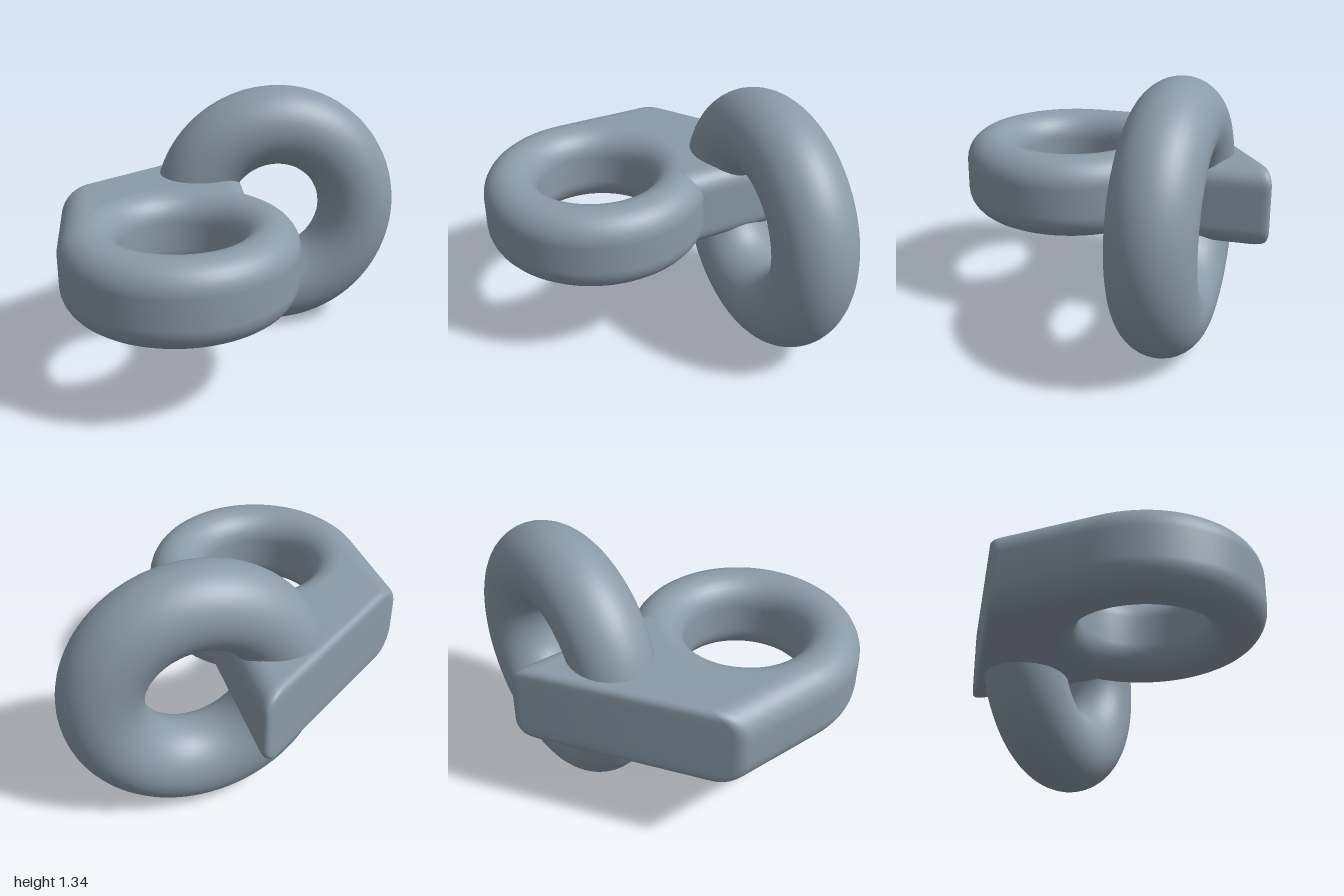
import * as THREE from 'three';
import { toCreasedNormals } from 'three/addons/utils/BufferGeometryUtils.js';

const MID_Y = 0.673;            // mid height of the flat eyelet
const HALF = 0.2115;            // half its thickness
const EYE = { x: -0.425, z: 0.077, outer: 0.574, inner: 0.3 };
const CREST = (EYE.outer + EYE.inner) / 2;
const ROUND = (EYE.outer - EYE.inner) / 2;

// Ring with a stadium-shaped section, starting on the flat inner wall
function eyeGeometry() {
  const pts = [new THREE.Vector2(EYE.inner, 0)];
  const arc = (from, cy) => {
    for (let i = 0; i <= 16; i++) {
      const a = from + (Math.PI * i) / 16;
      pts.push(new THREE.Vector2(CREST + ROUND * Math.cos(a), cy + ROUND * Math.sin(a)));
    }
  };
  arc(Math.PI, -(HALF - ROUND));
  arc(0, HALF - ROUND);
  pts.push(new THREE.Vector2(EYE.inner, 0));
  return new THREE.LatheGeometry(pts, 96);
}

// How far an edge of rounding radius r is set in at distance d from the top
function inset(d, r) {
  return d >= r ? 0 : r - Math.sqrt(r * r - (r - d) * (r - d));
}

// Outline of the lug at distance d from its top or bottom, in (x, -z)
function lugOutline(d) {
  const nx = 0.83, nz = 0.557;               // side normals lean to the back
  const dx = nz, dz = nx;                    // left side runs (dx, dz) backwards
  const sl = inset(d, ROUND), sr = inset(d, 0.1), sb = inset(d, 0.035);
  const back = 0.657 - sb;
  const left = [EYE.x - (EYE.outer - sl) * nx, -EYE.z + (EYE.outer - sl) * nz];
  const right = [0.09 - sr * nx, 0.01 + sr * nz];
  const cornerL = left[0] + (dx / dz) * (back - left[1]);
  const cornerR = right[0] + (dx / dz) * (back - right[1]);
  const pts = [new THREE.Vector2(...right)];
  const addCorner = (x, ax, ay, bx, by, c) => {
    new THREE.QuadraticBezierCurve(
      new THREE.Vector2(x + ax * c, back + ay * c),
      new THREE.Vector2(x, back),
      new THREE.Vector2(x + bx * c, back + by * c)
    ).getPoints(6).forEach((p) => pts.push(p));
  };
  addCorner(cornerR, -dx, -dz, -1, 0, 0.065);
  addCorner(cornerL, 1, 0, -dx, -dz, 0.045);
  pts.push(new THREE.Vector2(...left));
  // Inner boundary, buried under the crest of the eye
  for (let i = 0; i <= 20; i++) {
    const a = THREE.MathUtils.degToRad(143 - (123 * i) / 20);
    pts.push(new THREE.Vector2(EYE.x + CREST * Math.cos(a), -EYE.z + CREST * Math.sin(a)));
  }
  return pts;
}

// Lug: stacked outlines joined by quads and closed by caps
function lugGeometry() {
  const depths = [];
  for (let i = 0; i <= 12; i++) depths.push(ROUND * (1 - Math.cos((i / 12) * Math.PI / 2)));
  const slices = [
    ...depths.map((d) => [d, -HALF + d]),
    ...depths.map((d) => [d, HALF - d]).reverse(),
  ];
  const pos = [], index = [];
  let n = 0;
  slices.forEach(([d, y], k) => {
    const pts = lugOutline(d);
    n = pts.length;
    pts.forEach((p) => pos.push(p.x, y, -p.y));
    if (k === 0) return;
    for (let i = 0; i < n; i++) {
      const a = (k - 1) * n + i, b = (k - 1) * n + ((i + 1) % n);
      index.push(a, b, b + n, a, b + n, a + n);
    }
  });
  const top = (slices.length - 1) * n;
  THREE.ShapeUtils.triangulateShape(lugOutline(0), []).forEach(([a, b, c]) => {
    index.push(top + a, top + b, top + c, a, c, b);
  });
  const geo = new THREE.BufferGeometry();
  geo.setAttribute('position', new THREE.Float32BufferAttribute(pos, 3));
  geo.setIndex(index);
  return toCreasedNormals(geo, 0.7);
}

export function createModel() {
  const group = new THREE.Group();
  group.name = 'linkedRings';
  const metal = new THREE.MeshStandardMaterial({ color: 0x8a9ba8 });
  metal.name = 'blue grey metal';

  const add = (name, geometry, x, y, z) => {
    const mesh = new THREE.Mesh(geometry, metal);
    mesh.name = name;
    mesh.position.set(x, y, z);
    group.add(mesh);
    return mesh;
  };

  // Flat eyelet: round eye and the lug behind it
  add('eye', eyeGeometry(), EYE.x, MID_Y, EYE.z);
  add('lug', lugGeometry(), 0, MID_Y, 0);

  // Upright ring passing through the lug
  const ring = add('ring', new THREE.TorusGeometry(0.458, 0.208, 40, 96), 0.428, 0.672, -0.178);
  ring.rotation.y = THREE.MathUtils.degToRad(-35);
  ring.scale.set(0.985, 1.006, 0.98);

  return group;
}
